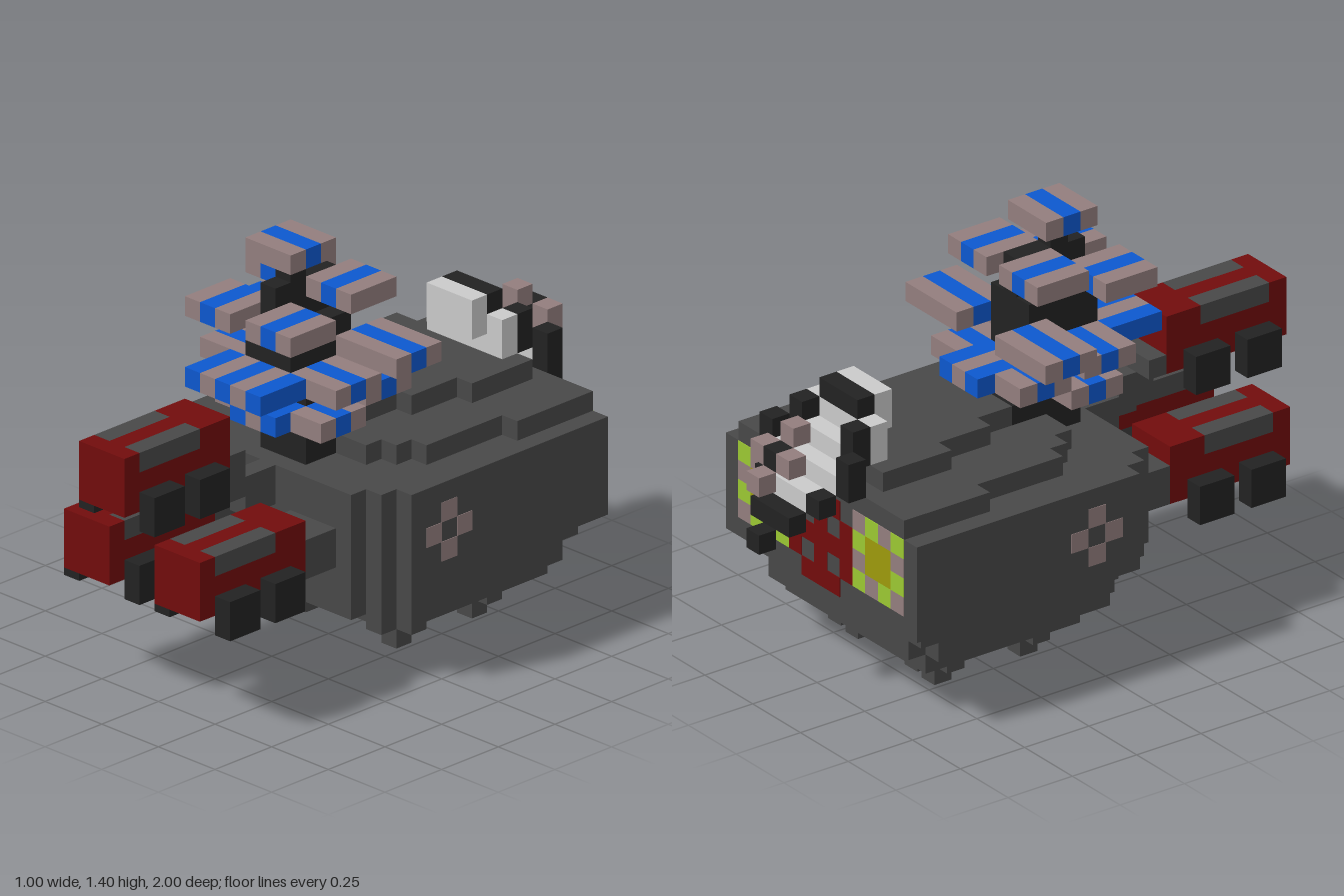
import * as THREE from 'three';

const U = 1 / 15; // one block

export function createModel() {
  const model = new THREE.Group();
  const mat = (name, color) => {
    const m = new THREE.MeshStandardMaterial({ color });
    m.name = name;
    return m;
  };
  const gray = mat('hull gray', 0x484848);
  const black = mat('dark black', 0x222222);
  const brown = mat('dusty brown', 0x937e7e);
  const blue = mat('deck blue', 0x0d58cf);
  const red = mat('wagon red', 0x720c0c);
  const white = mat('dish white', 0xcacaca);
  const lime = mat('lime', 0x9bc832);
  const yellow = mat('olive yellow', 0x9d9a0c);

  // Box from min and max corners, counted in blocks
  const box = (parent, name, m, x0, x1, y0, y1, z0, z1) => {
    const g = new THREE.BoxGeometry((x1 - x0) * U, (y1 - y0) * U, (z1 - z0) * U);
    const mesh = new THREE.Mesh(g, m);
    mesh.position.set((x0 + x1) / 2 * U, (y0 + y1) / 2 * U, (z0 + z1) / 2 * U);
    mesh.name = name;
    parent.add(mesh);
  };
  // The same box on both sides
  const pair = (parent, name, m, x0, x1, ...yz) => {
    box(parent, name, m, x0, x1, ...yz);
    box(parent, name, m, -x1, -x0, ...yz);
  };
  const part = (name) => {
    const g = new THREE.Group();
    g.name = name;
    model.add(g);
    return g;
  };

  // Hull: stepped layers as [half width, y0, y1, z0, z1]
  const hull = part('hull');
  [
    [5.5, 2, 3, -9, 0], [4.5, 2, 3, -9, 1],
    [6.5, 3, 4, -9, 1], [5.5, 3, 4, -10, 2], [6.5, 4, 5, -10, 1], [5.5, 4, 5, -10, 2], [4.5, 3, 5, -10, 3],
    [7.5, 5, 10, -11, 2], [6.5, 5, 10, -11, 3], [5.5, 5, 10, -11, 4],
    [6.5, 10, 11, -11, -6], [5.5, 10, 11, -6, -1], [4.5, 10, 11, -1, 0], [3.5, 10, 11, 0, 1],
    [3.5, 11, 12, -10, -6], [2.5, 11, 12, -6, -3], [1.5, 11, 12, -3, -1],
  ].forEach(([w, ...yz]) => box(hull, 'hullLayer', gray, -w, w, ...yz));

  // Feet: a cross with a single toe
  const feet = part('feet');
  for (const z of [-2, -7]) {
    pair(feet, 'footCross', gray, 1.5, 4.5, 1, 2, z, z + 1);
    pair(feet, 'footCross', gray, 2.5, 3.5, 1, 2, z - 1, z + 2);
    pair(feet, 'toe', gray, 2.5, 3.5, 0, 1, z, z + 1);
  }

  // Wagons: red body, dark wheels outside, gray top edges
  const wagon = (name, cx, y, z) => {
    const g = part(name);
    box(g, 'wagonBody', red, cx - 1.5, cx + 1.5, y, y + 2, z, z + 7);
    box(g, 'wagonTop', red, cx - 0.5, cx + 0.5, y + 2, y + 3, z, z + 7);
    for (const s of [-1, 1]) {
      const x = cx + s - 0.5;
      box(g, 'wagonTopEnd', red, x, x + 1, y + 2, y + 3, z, z + 2);
      box(g, 'wagonTopEnd', red, x, x + 1, y + 2, y + 3, z + 6, z + 7);
      box(g, 'wagonEdge', gray, x, x + 1, y + 2, y + 3, z + 2, z + 6);
      for (const wz of [z + 1, z + 4])
        box(g, 'wheel', black, x + s, x + s + 1, y - 1, y + 1, wz, wz + 2);
    }
  };
  wagon('leftWagon', 3, 6, 6);
  wagon('rightWagon', -3, 6, 6);
  wagon('middleWagon', 0, 11, 8);

  // Arms and neck that carry the wagons
  const arms = part('arms');
  pair(arms, 'arm', gray, 1.5, 4.5, 6, 8, 4, 6);
  [[0.5, 8, 10, 4, 6], [0.5, 9, 10, 6, 7], [0.5, 10, 11, 6, 8], [1.5, 11, 12, 7, 8]]
    .forEach(([w, ...yz]) => box(arms, 'neck', gray, -w, w, ...yz));

  // Tower
  const tower = part('tower');
  box(tower, 'towerBase', black, -1.5, 1.5, 10, 12, -1, 3);
  box(tower, 'towerCore', black, -1.5, 1.5, 12, 15, 0, 3);
  box(tower, 'towerCore', black, -1.5, 1.5, 15, 17, 0, 4);
  box(tower, 'towerCore', black, -0.5, 0.5, 17, 19, 0, 4);
  box(tower, 'mast', black, -0.5, 0.5, 19, 20, 2, 3);

  // Decks with a stripe across
  const decks = part('decks');
  const acrossDeck = (add, x0, x1, y, z) => [brown, blue, brown].forEach((m, i) =>
    add(decks, 'deckStrip', m, x0, x1, y, y + 1, z + i, z + i + 1));
  acrossDeck(box, -1.5, 1.5, 20, 1);
  acrossDeck(pair, 1.5, 5.5, 15, -2);
  acrossDeck(pair, 1.5, 4.5, 14, 1);
  acrossDeck(pair, 1.5, 3.5, 13, -2);
  acrossDeck(pair, 1.5, 3.5, 12, 1);

  // Decks with stripes running lengthwise
  for (const [y, z] of [[18, -1], [17, 3]])
    [brown, blue, brown].forEach((m, i) =>
      pair(decks, 'deckStrip', m, 0.5 + i, 1.5 + i, y, y + 1, z, z + 3));
  [blue, brown, blue, brown, blue].forEach((m, i) =>
    box(decks, 'frontDeck', m, i - 2.5, i - 1.5, 14, 15, 4, 7));
  [blue, brown, blue].forEach((m, i) => {
    box(decks, 'backDeck', m, i - 1.5, i - 0.5, 13, 14, -3, 0);
    box(decks, 'lowerFrontDeck', m, i - 1.5, i - 0.5, 12, 13, 3, 5);
  });

  // Tilted dish: white steps, black rim, brown feed
  const dish = part('dish');
  [[1.5, 13, 15, -9], [2.5, 12, 14, -10], [1.5, 11, 13, -11], [2.5, 11, 12, -12], [1.5, 10, 11, -13]]
    .forEach(([w, y0, y1, z]) => box(dish, 'dishStep', white, -w, w, y0, y1, z, z + 1));
  box(dish, 'rim', black, -1.5, 1.5, 14, 15, -10, -9);
  [[2, 13, -11], [2, 12, -11], [3, 12, -12], [3, 11, -12], [2, 10, -13], [1, 9, -14]].forEach(([x, y, z]) =>
    pair(dish, 'rim', black, x - 0.5, x + 0.5, y, y + 1, z, z + 1));
  box(dish, 'rim', black, -0.5, 0.5, 9, 10, -14, -13);
  box(dish, 'rim', black, -0.5, 0.5, 8, 9, -15, -14);
  box(dish, 'feedCore', black, -0.5, 0.5, 12, 13, -14, -13);
  box(dish, 'feed', brown, -0.5, 0.5, 13, 14, -13, -12);
  pair(dish, 'feed', brown, 0.5, 1.5, 12, 13, -14, -13);
  box(dish, 'feed', brown, -0.5, 0.5, 11, 12, -15, -14);

  // Side flowers
  const flowers = part('sideFlowers');
  for (const [y, z] of [[6, -1], [8, -1], [7, -2], [7, 0]])
    pair(flowers, 'petal', brown, 7.5, 7.53, y, y + 1, z, z + 1);

  // Rear panels: checkered frame round a yellow square
  const rear = part('rearPanels');
  for (let i = 0; i < 4; i++) for (let j = 0; j < 4; j++) {
    const inner = i % 3 && j % 3;
    if (inner) continue;
    pair(rear, 'rearTile', (i + j) % 2 ? brown : lime, 2.5 + i, 3.5 + i, 6 + j, 7 + j, -11.04, -11);
  }
  pair(rear, 'rearLight', yellow, 3.5, 5.5, 7, 9, -11.04, -11);

  // Red rear grille with openings
  for (let x = -2; x <= 2; x++) for (let y = 5; y < 10; y++) {
    const hole = Math.abs(x) === 1 && (y === 6 || y === 8);
    const corner = Math.abs(x) === 2 && (y === 5 || y === 9);
    if (!hole && !corner) box(rear, 'grille', red, x - 0.5, x + 0.5, y, y + 1, -11.04, -11);
  }
  return model;
}
